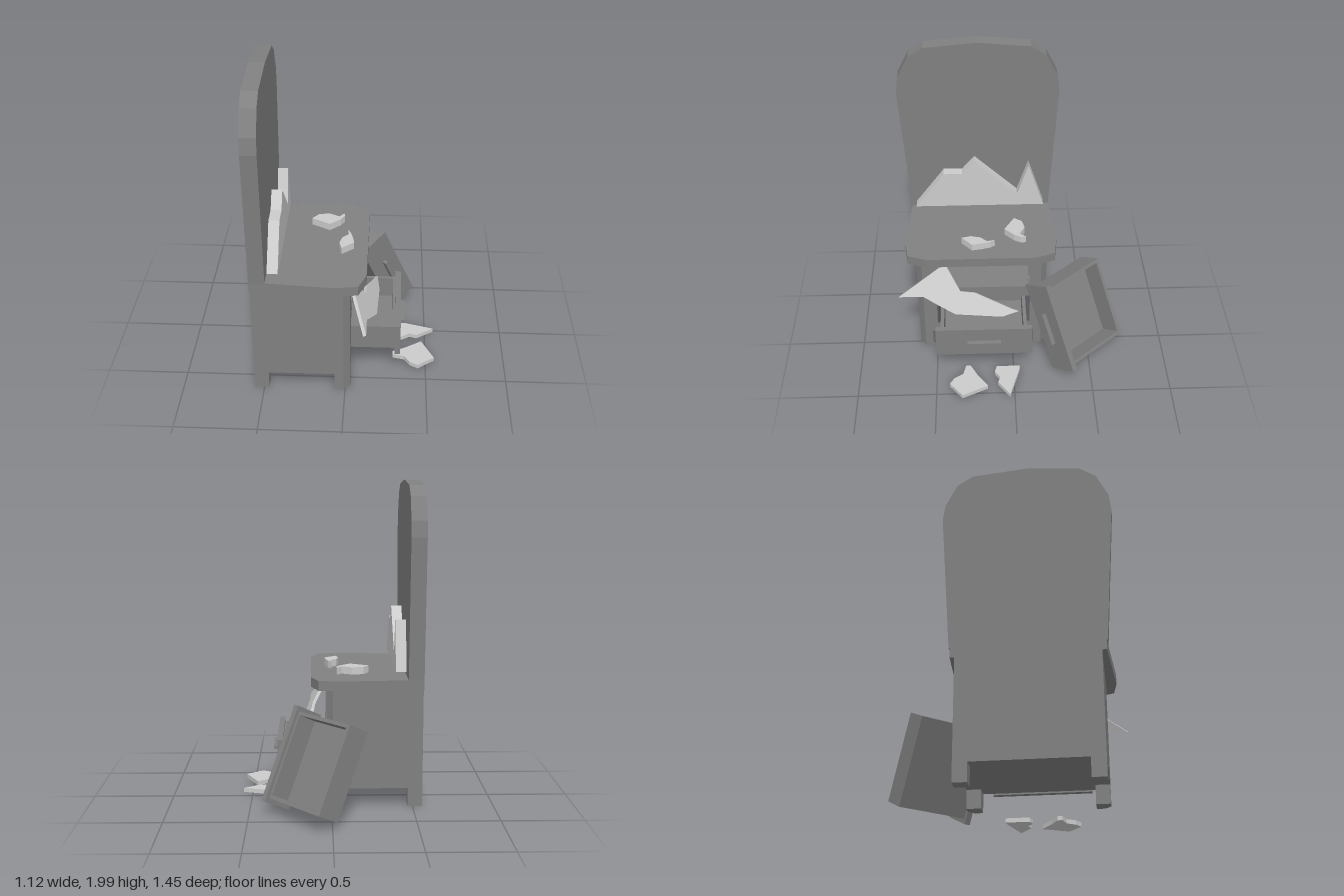
import * as THREE from 'three';

const wood = new THREE.MeshStandardMaterial({ color: 0x808080, flatShading: true });
const glass = new THREE.MeshStandardMaterial({ color: 0xcccccc, flatShading: true });
const MID = 0.197; // z of the dresser's own centre line

const toShape = (pts) => new THREE.Shape(pts.map(([a, b]) => new THREE.Vector2(a, b)));

function addMesh(parent, name, geometry, material = wood) {
  const mesh = new THREE.Mesh(geometry, material);
  mesh.name = name;
  parent.add(mesh);
  return mesh;
}

// Box given by its minimum and maximum corners
function box(parent, name, a, b, material) {
  const g = new THREE.BoxGeometry(b[0] - a[0], b[1] - a[1], b[2] - a[2]);
  g.translate((a[0] + b[0]) / 2, (a[1] + b[1]) / 2, (a[2] + b[2]) / 2);
  return addMesh(parent, name, g, material);
}

// Plate with a [x, z] outline, extruded from y0 to y1
function plate(parent, name, pts, y0, y1, material) {
  const g = new THREE.ExtrudeGeometry(toShape(pts.map(([x, z]) => [x, -z])), { depth: y1 - y0, bevelEnabled: false });
  g.rotateX(-Math.PI / 2).translate(0, y0, 0);
  return addMesh(parent, name, g, material);
}

// Upright panel with a [z, y] outline, extruded from x0 to x1
function panel(parent, name, pts, x0, x1, material, holes = []) {
  const flip = (list) => list.map(([z, y]) => [-z, y]);
  const shape = toShape(flip(pts));
  shape.holes = holes.map((h) => toShape(flip(h)));
  const g = new THREE.ExtrudeGeometry(shape, { depth: x1 - x0, bevelEnabled: false });
  g.rotateY(Math.PI / 2).translate(x0, 0, 0);
  return addMesh(parent, name, g, material);
}

const rect = (z0, z1, y0, y1) => [[z0, y0], [z1, y0], [z1, y1], [z0, y1]];

// Open-topped drawer; origin at the centre of its front face, facing local +z
function makeDrawer(name) {
  const d = new THREE.Group();
  d.name = name;
  const back = -0.485, w = 0.275, h = 0.08, t = 0.022;
  box(d, 'drawerFront', [-0.305, -0.103, -0.035], [0.305, 0.103, 0]);
  box(d, 'drawerBottom', [-w, -h, back], [w, -h + t, -0.035]);
  box(d, 'drawerBack', [-w, -h + t, back], [w, h, back + t]);
  box(d, 'drawerInnerFront', [-w, -h + t, -0.05], [w, h, -0.035]);
  for (const s of [-1, 1]) {
    const x = s * (w - t / 2);
    box(d, 'drawerSide', [x - t / 2, -h + t, back + t], [x + t / 2, h, -0.05]);
  }
  box(d, 'drawerHandle', [-0.107, -0.011, 0], [0.107, 0.011, 0.03]);
  return d;
}

export function createModel() {
  const model = new THREE.Group();
  model.name = 'brokenDresser';

  // Backboard with a rounded, faceted top
  const half = [[0.452, 0.81], [0.508, 1.67], [0.494, 1.77], [0.423, 1.91], [0.33, 1.97]];
  panel(model, 'backboard', [
    ...half.map(([z, y]) => [MID + z, y]),
    [MID, 2],
    ...half.map(([z, y]) => [MID - z, y]).reverse(),
  ], -0.56, -0.465, wood);

  // Table top with a bowed outline
  const edge = [[-0.56, 0.445], [-0.06, 0.482], [0.08, 0.463], [0.125, 0.345]];
  plate(model, 'tableTop', [
    ...edge.map(([x, z]) => [x, MID + z]),
    ...edge.map(([x, z]) => [x, MID - z]).reverse(),
  ], 0.75, 0.81);

  // Cabinet: core with two drawer openings, back, chamfered sides and legs
  const upper = rect(-0.115, 0.495, 0.5, 0.72);
  const lower = rect(-0.115, 0.495, 0.2, 0.42);
  panel(model, 'cabinetCore', rect(MID - 0.383, MID + 0.383, 0.125, 0.75), -0.53, 0.03, wood, [upper, lower]);
  box(model, 'cabinetBack', [-0.56, 0.125, MID - 0.383], [-0.53, 0.75, MID + 0.383]);
  for (const s of [-1, 1]) {
    const z = (v) => MID + s * v;
    plate(model, 'cabinetSide', [[-0.56, z(0.383)], [-0.56, z(0.418)], [-0.01, z(0.418)], [0.03, z(0.383)]], 0.125, 0.75);
    plate(model, 'frontLeg', [[-0.065, z(0.333)], [-0.065, z(0.418)], [-0.01, z(0.418)], [0.03, z(0.383)], [0.03, z(0.333)]], 0.01, 0.125);
    plate(model, 'backLeg', [[-0.56, z(0.333)], [-0.56, z(0.418)], [-0.47, z(0.418)], [-0.47, z(0.333)]], 0.01, 0.125);
  }

  // Lower drawer pulled out, upper drawer fallen and leaning on the floor
  const pulled = makeDrawer('pulledDrawer');
  pulled.position.set(0.335, 0.303, 0.19);
  pulled.rotation.y = Math.PI / 2;
  const fallen = makeDrawer('fallenDrawer');
  fallen.position.set(0.255, 0.332, -0.231);
  fallen.rotation.set(0, 0.72, -1.12);
  model.add(pulled, fallen);

  // Jagged remains of the mirror
  panel(model, 'brokenMirror', [
    [0.617, 0.855], [0.43, 1.105], [0.31, 1.105], [0.23, 1.2], [-0.045, 0.94], [-0.12, 1.16], [-0.218, 0.855],
  ], -0.455, -0.39, glass);

  // Shards on the table top
  plate(model, 'tableShard', [
    [-0.235, -0.02], [-0.2, -0.07], [-0.13, -0.085], [-0.065, -0.05],
    [-0.035, -0.09], [-0.03, -0.06], [-0.055, -0.015], [-0.12, 0.045],
  ], 0.812, 0.857, glass);
  plate(model, 'tableShard', [
    [-0.005, 0.11], [0.015, 0.14], [0.03, 0.195], [0.04, 0.255],
    [-0.035, 0.32], [-0.05, 0.26], [-0.035, 0.2], [0.005, 0.16],
  ], 0.812, 0.857, glass);

  // Shards near the floor
  plate(model, 'floorShard', [
    [0.3, -0.04], [0.335, -0.035], [0.555, 0.03], [0.445, 0.105], [0.4, 0.09], [0.35, 0.125], [0.3, 0.11],
  ], 0.025, 0.052, glass);
  plate(model, 'floorShard', [
    [0.475, 0.17], [0.555, 0.335], [0.54, 0.345], [0.45, 0.415], [0.4, 0.385],
    [0.365, 0.33], [0.29, 0.31], [0.29, 0.28], [0.37, 0.24],
  ], 0.025, 0.052, glass);

  // Large thin shard leaning over the pulled drawer
  const tilt = 0.5, pivotY = 0.515;
  const leaning = panel(model, 'leaningShard', [
    [0.73, 0.515], [0.43, 0.7], [0.335, 0.54], [0.24, 0.53], [0, 0.43],
    [-0.035, 0.42], [0.07, 0.39], [0.37, 0.41], [0.49, 0.47], [0.575, 0.515],
  ].map(([z, y]) => [z, (y - pivotY) / Math.cos(tilt)]), -0.02, 0, glass);
  leaning.position.set(0.13, pivotY, 0);
  leaning.rotation.z = tilt;

  return model;
}
